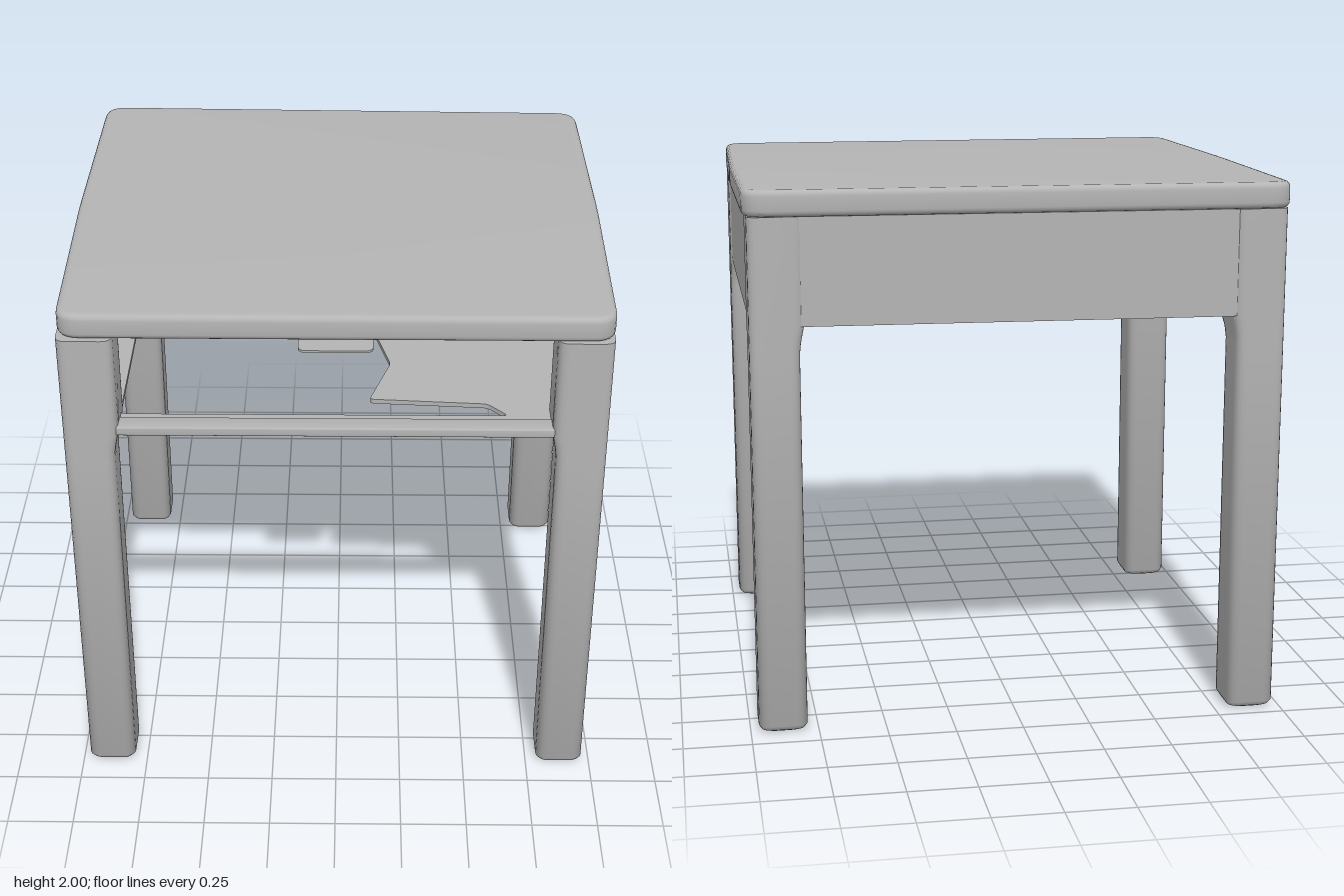
import * as THREE from 'three';
import { toCreasedNormals } from 'three/addons/utils/BufferGeometryUtils.js';

const grey = new THREE.MeshStandardMaterial({ color: 0xb4b4b4 });
grey.name = 'plain grey';

// Closed outline through [x, z] corners (plan view), each corner rounded by r.
function outline(corners, r) {
  const pts = corners.map(([x, z]) => new THREE.Vector2(x, -z));
  const n = pts.length;
  const s = new THREE.Shape();
  pts.forEach((p, i) => {
    const toward = (q) => p.clone().add(q.clone().sub(p).setLength(r));
    const a = toward(pts[(i + n - 1) % n]);
    const b = toward(pts[(i + 1) % n]);
    if (i === 0) s.moveTo(a.x, a.y);
    else s.lineTo(a.x, a.y);
    if (r > 0.001) s.quadraticCurveTo(p.x, p.y, b.x, b.y);
  });
  s.closePath();
  return s;
}

// Horizontal slab between two heights, with softened edges.
function slab(name, shape, y0, y1, bevel = 0) {
  const g = new THREE.ExtrudeGeometry(shape, {
    depth: y1 - y0 - 2 * bevel, curveSegments: 6, bevelEnabled: bevel > 0,
    bevelThickness: bevel, bevelSize: bevel, bevelOffset: -bevel, bevelSegments: 4,
  });
  g.rotateX(-Math.PI / 2).translate(0, y0 + bevel, 0);
  const mesh = new THREE.Mesh(toCreasedNormals(g, 0.7), grey);
  mesh.name = name;
  return mesh;
}

const rect = (x0, x1, z0, z1) => [[x0, z1], [x1, z1], [x1, z0], [x0, z0]];

// Leg: rounded-square sections lofted upward, widening inward under the apron.
function leg(name, ox, oz) {
  const sx = Math.sign(ox), sz = Math.sign(oz);
  const levels = [ // height, inset, width in x, width in z
    [0, 0.025, 0.18, 0.19], [0.008, 0.01, 0.18, 0.19], [0.025, 0, 0.18, 0.19],
    [1.41, 0, 0.18, 0.19], [1.45, 0, 0.184, 0.196], [1.49, 0, 0.192, 0.21],
    [1.52, 0, 0.198, 0.22], [1.905, 0, 0.198, 0.22],
  ];
  const pos = [], idx = [];
  let n = 0;
  for (const [y, inset, wx, wz] of levels) {
    const xs = [ox - sx * inset, ox - sx * (wx - inset)].sort((a, b) => a - b);
    const zs = [oz - sz * inset, oz - sz * (wz - inset)].sort((a, b) => a - b);
    const ring = outline(rect(xs[0], xs[1], zs[0], zs[1]), 0.04).getPoints(5);
    ring.pop();
    n = ring.length;
    ring.forEach((p) => pos.push(p.x, y, -p.y));
  }
  for (let k = 0; k < levels.length - 1; k++) {
    for (let i = 0; i < n; i++) {
      const a = k * n + i, b = k * n + (i + 1) % n;
      idx.push(a, b, b + n, a, b + n, a + n);
    }
  }
  const top = (levels.length - 1) * n;
  for (let i = 1; i < n - 1; i++) idx.push(0, i + 1, i, top, top + i, top + i + 1);
  const g = new THREE.BufferGeometry();
  g.setAttribute('position', new THREE.Float32BufferAttribute(pos, 3));
  g.setIndex(idx);
  const mesh = new THREE.Mesh(toCreasedNormals(g, 0.8), grey);
  mesh.name = name;
  return mesh;
}

export function createModel() {
  const model = new THREE.Group();
  model.name = 'sideTable';

  // Top, slightly bowed at the sides and skewed at the back
  model.add(slab('tableTop', outline([
    [-0.972, 0.89], [0.972, 0.895], [0.99, 0], [0.985, -0.922], [-0.988, -0.965], [-0.992, 0],
  ], 0.085), 1.905, 2, 0.022));

  // Legs
  model.add(
    leg('frontLeftLeg', 0.97, 0.9), leg('frontRightLeg', -0.975, 0.9),
    leg('backLeftLeg', 0.97, -0.91), leg('backRightLeg', -0.975, -0.952),
  );

  // Apron panels on three sides, open compartment at the front
  for (const [side, s, back] of [['left', 1, -0.72], ['right', -1, -0.76]]) {
    const x = [s * 0.925, s * 0.962].sort((a, b) => a - b);
    model.add(slab(side + 'Apron', outline(rect(x[0], x[1], back, 0.7), 0), 1.515, 1.905));
  }
  model.add(slab('backApron', outline([
    [-0.79, -0.91], [0.79, -0.868], [0.79, -0.903], [-0.79, -0.945],
  ], 0), 1.515, 1.905));

  // Compartment floor with its large cut-out and the slot behind the front rail
  const floor = outline([[-0.93, 0.84], [0.93, 0.84], [0.93, -0.88], [-0.93, -0.92]], 0);
  floor.holes.push(outline([
    [-0.78, 0.77], [0.62, 0.77], [0.55, 0.69], [0.12, 0.66], [0.2, 0.4], [0.08, -0.1],
    [0.1, -0.72], [-0.78, -0.74],
  ], 0.02));
  model.add(slab('compartmentFloor', floor, 1.517, 1.535));

  // Front rail and the small tab under the top
  model.add(slab('frontRail', outline(rect(-0.8, 0.8, 0.81, 0.885), 0), 1.512, 1.547, 0.006));
  model.add(slab('frontTab', outline(rect(-0.13, 0.13, 0.8, 0.96), 0.03), 1.9, 1.908));
  return model;
}
